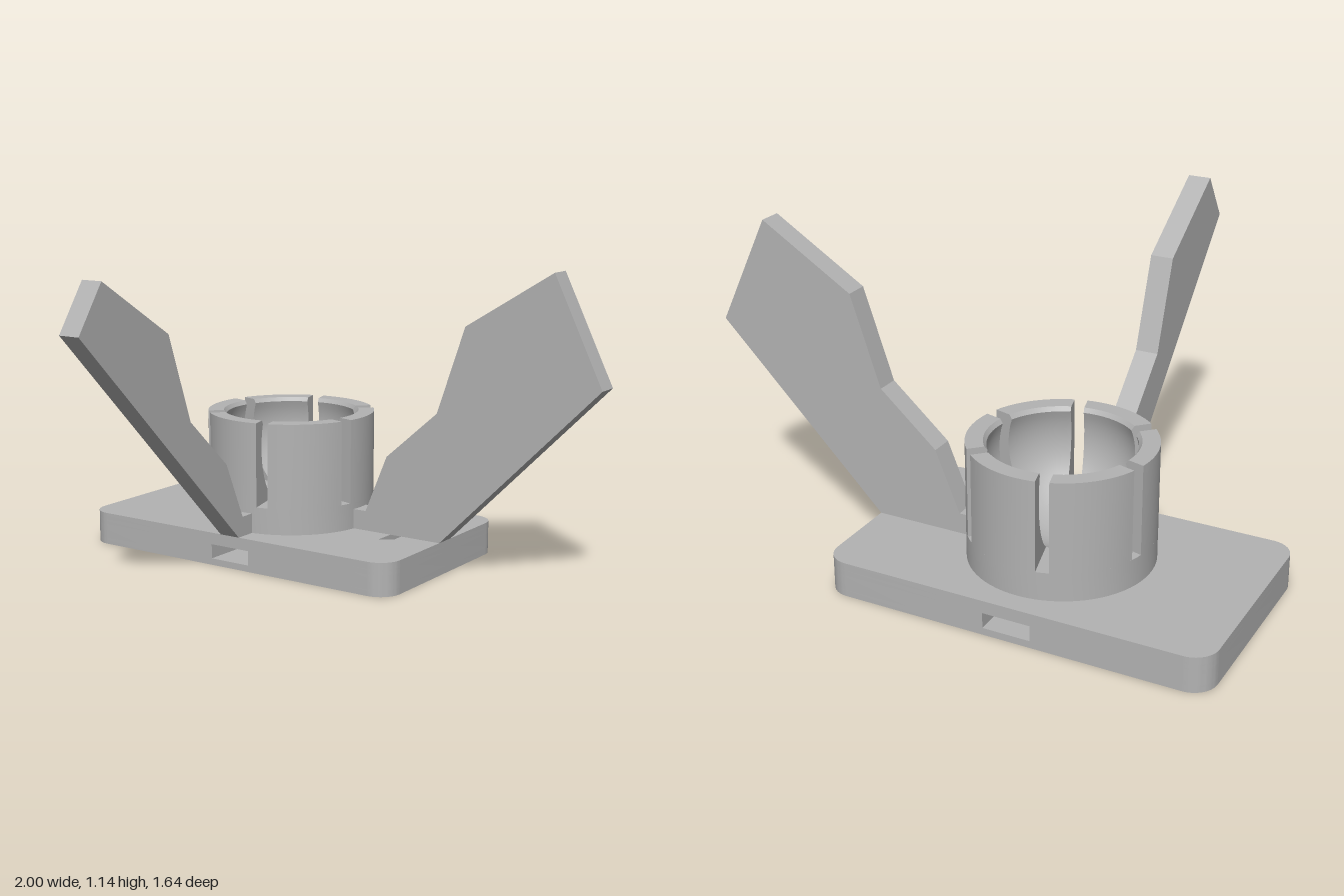
import * as THREE from 'three';
import { toCreasedNormals } from 'three/addons/utils/BufferGeometryUtils.js';

const CX = -0.31, CZ = -0.42; // cup axis

export function createModel() {
  const model = new THREE.Group();
  const grey = new THREE.MeshStandardMaterial({ color: 0xb3b3b3 });
  grey.name = 'plain grey';

  const add = (parent, name, geometry) => {
    const mesh = new THREE.Mesh(geometry, grey);
    mesh.name = name;
    parent.add(mesh);
    return mesh;
  };
  const vectors = (points) => points.map(([x, y]) => new THREE.Vector2(x, y));

  // Base plate: stacked layers leave a slot through it and a shallow arrow recess
  const base = new THREE.Group();
  base.name = 'base';
  model.add(base);
  const X0 = -1, X1 = 0.38, R = 0.085;

  // Plan outline, shape y = -z; rl and rr round the left and right corners
  const outline = (x0, x1, rl, rr) => {
    const s = new THREE.Shape(), y0 = 0.02, y1 = 0.82, q = Math.PI / 2;
    const corner = (x, y, r, a) => (r ? s.absarc(x, y, r, a, a + q) : s.lineTo(x, y));
    s.moveTo(x0 + rl, y0);
    corner(x1 - rr, y0 + rr, rr, -q);
    corner(x1 - rr, y1 - rr, rr, 0);
    corner(x0 + rl, y1 - rl, rl, q);
    corner(x0 + rl, y0 + rl, rl, 2 * q);
    return s;
  };
  const layer = (name, shape, y0, y1) => {
    const g = new THREE.ExtrudeGeometry(shape, { depth: y1 - y0, bevelEnabled: false, curveSegments: 10 });
    g.rotateX(-Math.PI / 2).translate(0, y0, 0);
    add(base, name, toCreasedNormals(g, 0.5));
  };
  layer('baseBottom', outline(X0, X1, R, R), 0, 0.025);
  layer('baseBesideSlotRight', outline(X0, -0.395, R, 0), 0.025, 0.08);
  layer('baseBesideSlotLeft', outline(-0.225, X1, 0, R), 0.025, 0.08);
  layer('baseAboveSlot', outline(X0, X1, R, R), 0.08, 0.1);
  const top = outline(X0, X1, R, R);
  top.holes.push(new THREE.Path(vectors([[0.17, 0.295], [0.17, 0.545], [0.335, 0.42]])));
  layer('baseTop', top, 0.1, 0.125);

  // Cup with a spherical socket
  const cup = new THREE.Group();
  cup.name = 'cup';
  cup.position.set(CX, 0, CZ);
  model.add(cup);
  const outer = 0.32, socketR = 0.265, socketY = 0.44, floorY = 0.225, rimY = 0.545;
  const socket = (y0, y1, n) => {
    const a0 = Math.asin((y0 - socketY) / socketR), a1 = Math.asin((y1 - socketY) / socketR);
    return Array.from({ length: n + 1 }, (_, i) => {
      const a = a0 + ((a1 - a0) * i) / n;
      return [Math.max(0, socketR * Math.cos(a)), socketY + socketR * Math.sin(a)];
    });
  };

  // Solid bottom of the cup, up to the floor of the slots
  const lower = [[outer, 0.12], [outer, floorY], ...socket(floorY, socketY - socketR, 10)];
  add(cup, 'cupBottom', toCreasedNormals(new THREE.LatheGeometry(vectors(lower), 72), 0.5));

  // Six wall segments, parted by slots of even width
  const wall = [[outer, floorY], [outer, rimY], [0.26, rimY], ...socket(floorY, 0.53, 14).reverse()];
  const halfSlot = 0.0225;
  for (let k = 0; k < 6; k++) {
    const g = new THREE.ExtrudeGeometry(new THREE.Shape(vectors(wall)), { depth: 1, steps: 14, bevelEnabled: false });
    const p = g.attributes.position;
    const a0 = THREE.MathUtils.degToRad(15 + 60 * k);
    for (let i = 0; i < p.count; i++) {
      // depth becomes the angle around the axis
      const r = p.getX(i), gap = Math.asin(halfSlot / r);
      const a = a0 + gap + p.getZ(i) * (Math.PI / 3 - 2 * gap);
      p.setXYZ(i, r * Math.cos(a), p.getY(i), r * Math.sin(a));
    }
    add(cup, 'cupWall' + (k + 1), toCreasedNormals(g, 0.5));
  }

  // Two upright angular arms
  const arm = (points) => {
    const g = new THREE.ExtrudeGeometry(new THREE.Shape(vectors(points)), { depth: 0.084, bevelEnabled: false });
    return g.translate(0, 0, -0.042);
  };
  const sideArm = arm([
    [-0.01, 0.125], [0.38, 0.125], [1, 0.75], [0.81, 1.14],
    [0.47, 0.93], [0.36, 0.605], [0.15, 0.42], [0.06, 0.2], [-0.01, 0.2],
  ]);
  add(model, 'sideArm', sideArm.translate(0, 0, CZ));
  const frontArm = arm([
    [-0.12, 0.125], [-0.02, 0.125], [0.82, 0.97], [0.705, 1.14],
    [0.37, 0.93], [0.255, 0.605], [0.05, 0.415], [-0.045, 0.2], [-0.12, 0.2],
  ]);
  add(model, 'frontArm', frontArm.rotateY(-Math.PI / 2).translate(CX, 0, 0));

  return model;
}
